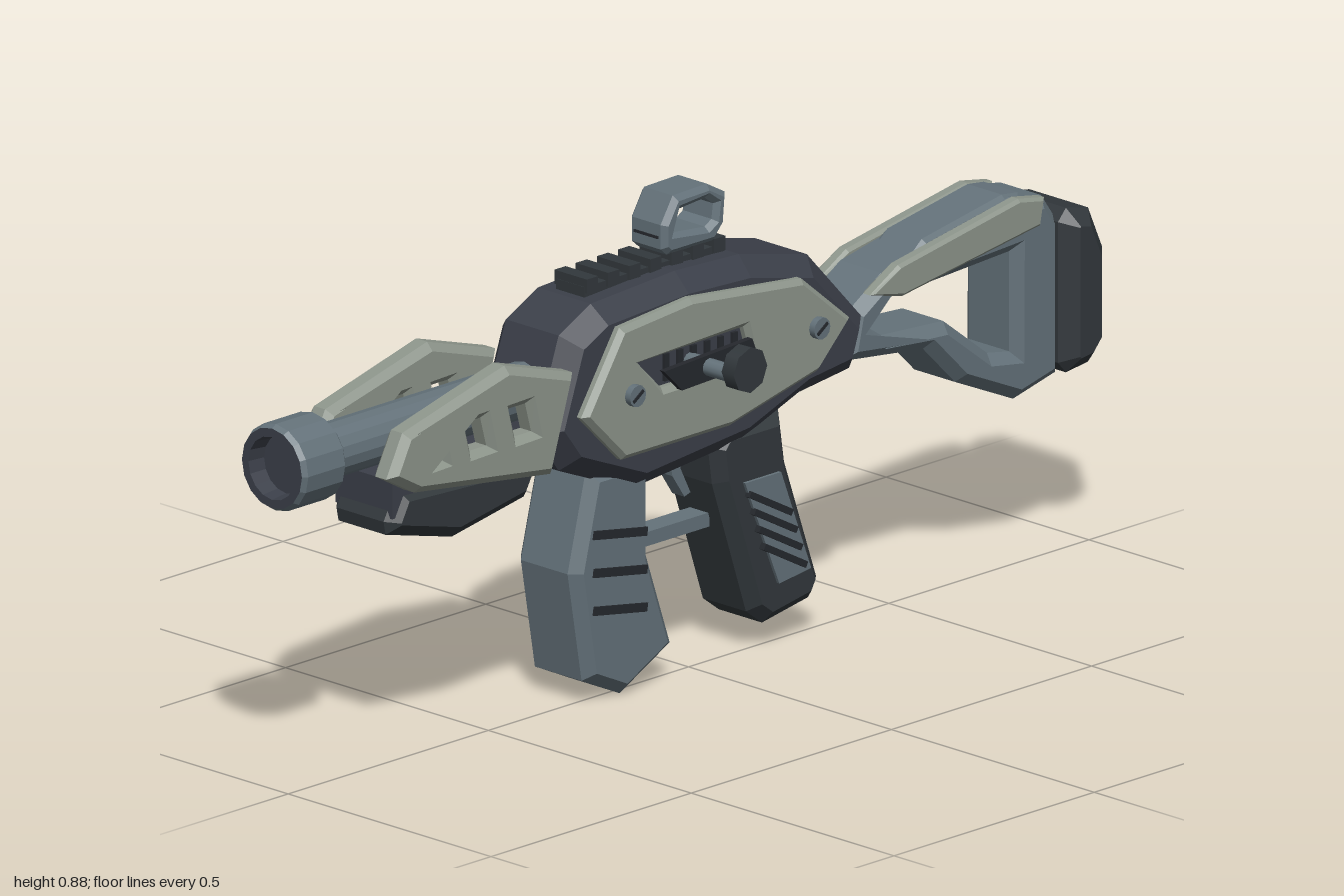
import * as THREE from 'three';

const mat = (name, color) => Object.assign(new THREE.MeshStandardMaterial({ color }), { name });
const MID = -0.04; // x of the symmetry plane

export function createModel() {
  const dark = mat('dark navy', 0x3b3f49), rubber = mat('rubber black', 0x32383c);
  const steel = mat('blue grey', 0x64727a), pale = mat('pale grey', 0x8d958b);
  const black = mat('slot black', 0x25282d), brass = mat('brass', 0xb8793a);
  const model = new THREE.Group();
  model.name = 'model';

  const add = (name, geo, material) => {
    const mesh = new THREE.Mesh(geo, material);
    mesh.name = name;
    model.add(mesh);
    return mesh;
  };
  const vecs = pts => pts.map(([z, y]) => new THREE.Vector2(z, y));

  // Side profile in (z, y), extruded across x and chamfered inside its outline
  const slab = (name, pts, width, bevel, material, x = MID, holes = []) => {
    const shape = new THREE.Shape(vecs(pts));
    holes.forEach(h => shape.holes.push(new THREE.Path(vecs(h))));
    const geo = new THREE.ExtrudeGeometry(shape, {
      depth: width - 2 * bevel, bevelEnabled: bevel > 0, bevelSize: bevel,
      bevelThickness: bevel, bevelOffset: -bevel, bevelSegments: 1,
    });
    geo.translate(0, 0, -(width - 2 * bevel) / 2).rotateY(-Math.PI / 2).translate(x, 0, 0);
    return add(name, geo, material);
  };
  const box = (name, w, h, d, x, y, z, material, tilt = 0) => {
    const mesh = add(name, new THREE.BoxGeometry(w, h, d), material);
    mesh.position.set(x, y, z);
    mesh.rotation.x = tilt;
    return mesh;
  };
  // Cylinder lying across x, from x0 to x1
  const pin = (name, r, x0, x1, y, z, material, sides = 12) => {
    const geo = new THREE.CylinderGeometry(r, r, Math.abs(x1 - x0), sides);
    geo.rotateZ(Math.PI / 2).translate((x0 + x1) / 2, y, z);
    return add(name, geo, material);
  };
  const sides = fn => [1, -1].forEach(s => fn(s, off => MID + s * off));

  // Receiver
  slab('receiver', [[0.41, 0.53], [0.35, 0.70], [0.27, 0.74], [0.06, 0.752], [-0.1, 0.745],
    [-0.27, 0.705], [-0.405, 0.56], [-0.375, 0.47], [-0.25, 0.455], [-0.1, 0.4],
    [0.17, 0.375], [0.35, 0.45]], 0.2, 0.035, dark);

  // Receiver side panels with slot and screws
  const slot = [[0.2, 0.625], [-0.065, 0.63], [-0.085, 0.565], [0.14, 0.565]];
  sides((s, at) => {
    slab('sidePanel', [[0.34, 0.555], [0.245, 0.70], [0.07, 0.715], [-0.21, 0.685],
      [-0.33, 0.585], [-0.25, 0.505], [-0.03, 0.455], [0.24, 0.455]],
    0.035, 0.01, pale, at(0.1025), [slot]);
    for (const [z, y] of [[0.22, 0.573], [-0.24, 0.59]]) {
      pin('screw', 0.02, at(0.11), at(0.133), y, z, steel);
      box('screwSlot', 0.003, 0.006, 0.03, at(0.1335), y, z, black, 0.6);
    }
    for (let i = 0; i < 6; i++) {
      box('slotRidge', 0.008, 0.05, 0.012, at(0.102), 0.597, 0.12 - i * 0.034, black);
    }
  });

  // Bolt plate and charging handle
  slab('boltPlate', [[0.17, 0.61], [-0.05, 0.62], [-0.07, 0.572], [0.125, 0.565]], 0.012, 0, black, 0.102);
  pin('handleShaft', 0.016, 0.05, 0.19, 0.593, 0.058, steel);
  pin('handleKnob', 0.042, 0.18, 0.21, 0.61, 0.058, rubber, 8);

  // Selector
  pin('selectorShaft', 0.012, -0.14, -0.18, 0.5, -0.07, steel);
  pin('selector', 0.025, -0.176, -0.198, 0.5, -0.07, steel);
  pin('selectorCap', 0.023, -0.197, -0.212, 0.488, -0.07, brass);

  // Barrel and muzzle, turned about z
  const turn = (name, pts, material, n = 16) => {
    const geo = new THREE.LatheGeometry(pts.map(([r, z]) => new THREE.Vector2(r, z)), n);
    geo.rotateX(Math.PI / 2).translate(MID, 0.592, 0);
    const mesh = add(name, geo.toNonIndexed(), material);
    mesh.geometry.computeVertexNormals();
  };
  turn('barrel', [[0.05, 0.35], [0.05, 0.9]], steel);
  turn('muzzle', [[0.048, 0.888], [0.07, 0.888], [0.08, 0.898], [0.08, 0.99], [0.074, 1]], steel);
  turn('muzzleFace', [[0.074, 1], [0.058, 1], [0.054, 0.965], [0, 0.965]], dark);

  // Handguard plates with three windows each, and the lower guard
  const windows = [0.745, 0.632, 0.52].map(z =>
    [[z, 0.615], [z - 0.042, 0.615], [z - 0.057, 0.56], [z - 0.015, 0.56]]);
  sides((s, at) => slab('handguardPlate', [[0.825, 0.555], [0.785, 0.632], [0.53, 0.697],
    [0.36, 0.645], [0.415, 0.47], [0.755, 0.515]], 0.055, 0.014, pale, at(0.095), windows));
  slab('lowerGuard', [[0.78, 0.455], [0.75, 0.51], [0.4, 0.49], [0.43, 0.42], [0.61, 0.388],
    [0.775, 0.43]], 0.16, 0.022, rubber);
  slab('guardCore', [[0.77, 0.53], [0.38, 0.53], [0.38, 0.46], [0.77, 0.46]], 0.14, 0, dark);

  // Magazine with dark side grooves
  slab('magazine', [[0.275, 0.43], [0.32, 0.25], [0.285, 0.045], [0.19, 0], [0.065, 0.065],
    [0.125, 0.24], [0.125, 0.43]], 0.155, 0.02, steel);
  sides((s, at) => [0.305, 0.235, 0.165].forEach(y =>
    box('magazineGroove', 0.008, 0.016, 0.135, at(0.077), y, 0.21, black, -0.17)));

  // Trigger and guard
  box('triggerGuard', 0.045, 0.026, 0.22, MID, 0.252, 0.04, steel);
  box('guardPost', 0.045, 0.15, 0.022, MID, 0.32, 0.115, steel);
  slab('trigger', [[0.025, 0.4], [-0.005, 0.4], [-0.005, 0.36], [-0.03, 0.31], [-0.015, 0.305],
    [0.015, 0.35]], 0.03, 0, steel);

  // Rear grip with inlays and diagonal ridges
  slab('grip', [[-0.035, 0.4], [-0.06, 0.43], [-0.21, 0.43], [-0.225, 0.33], [-0.305, 0.1],
    [-0.285, 0.065], [-0.17, 0.045], [-0.13, 0.075], [-0.045, 0.33]], 0.15, 0.022, rubber);
  sides((s, at) => {
    slab('gripInlay', [[-0.1, 0.325], [-0.19, 0.325], [-0.265, 0.13], [-0.185, 0.12]],
      0.009, 0, steel, at(0.0765));
    for (let i = 0; i < 4; i++) {
      box('gripRidge', 0.014, 0.012, 0.12, at(0.08), 0.275 - i * 0.035, -0.16 - i * 0.012, black, -0.5);
    }
  });

  // Skeleton stock, cheek strips and butt pad
  slab('stock', [[-0.37, 0.48], [-0.39, 0.57], [-0.47, 0.62], [-0.79, 0.685], [-0.87, 0.67],
    [-0.905, 0.62], [-0.905, 0.335], [-0.8, 0.31], [-0.655, 0.375], [-0.575, 0.455]],
  0.14, 0.02, steel, MID, [[[-0.44, 0.525], [-0.495, 0.57], [-0.79, 0.585], [-0.79, 0.4],
    [-0.735, 0.41], [-0.625, 0.495], [-0.47, 0.505]]]);
  sides((s, at) => slab('cheekStrip', [[-0.42, 0.595], [-0.49, 0.635], [-0.79, 0.687],
    [-0.855, 0.675], [-0.845, 0.625], [-0.5, 0.575]], 0.028, 0.006, pale, at(0.064)));
  slab('cheekPad', [[-0.55, 0.63], [-0.58, 0.655], [-0.78, 0.69], [-0.82, 0.685], [-0.82, 0.64]],
    0.1, 0.008, steel);
  slab('buttPad', [[-0.89, 0.62], [-0.91, 0.642], [-0.965, 0.63], [-1, 0.55], [-1, 0.385],
    [-0.965, 0.345], [-0.91, 0.338], [-0.89, 0.36]], 0.2, 0.028, rubber);

  // Top rail with teeth
  box('railBase', 0.07, 0.03, 0.35, MID, 0.745, 0.08, rubber);
  for (let i = 0; i < 7; i++) {
    box('railTooth', 0.08, 0.026, 0.028, MID, 0.762, 0.24 - i * 0.053, rubber);
  }

  // Sight housing, open from side to side
  slab('sight', [[0.065, 0.785], [0.065, 0.83], [0.035, 0.878], [-0.05, 0.88], [-0.095, 0.855],
    [-0.09, 0.8], [-0.065, 0.772], [0.05, 0.772]], 0.09, 0.01, steel, MID,
  [[[0.035, 0.81], [0.02, 0.85], [-0.045, 0.855], [-0.066, 0.84], [-0.062, 0.812], [-0.045, 0.802]]]);
  box('sightNotch', 0.045, 0.006, 0.01, MID, 0.84, -0.091, black);
  box('sightLine', 0.06, 0.005, 0.006, MID, 0.806, 0.064, black);

  return model;
}
